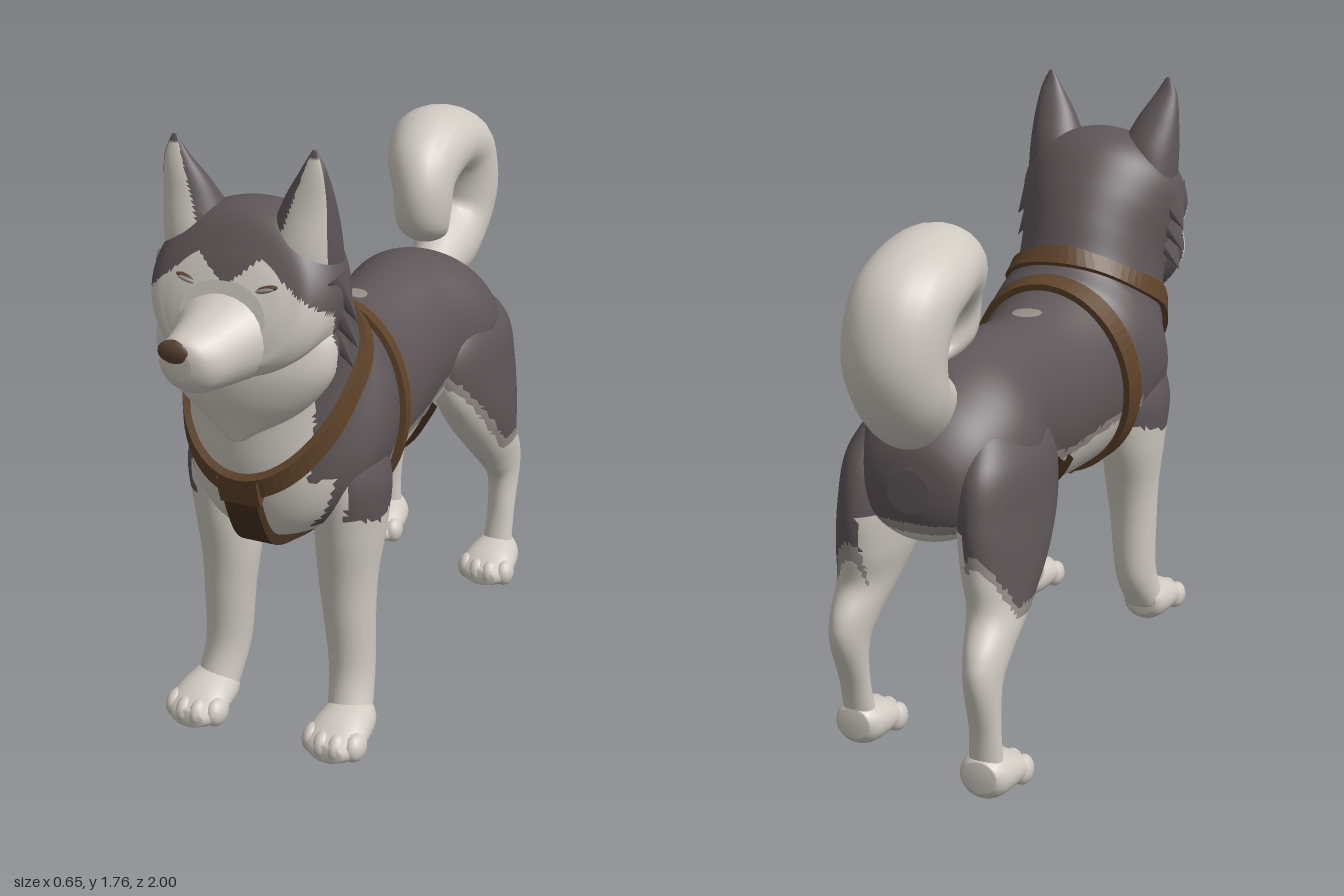
import * as THREE from 'three';

const mat = (name, color, side = THREE.FrontSide) => {
  const m = new THREE.MeshStandardMaterial({ color, side });
  m.name = name;
  return m;
};

// Smooth interpolation between ring rows [zTop, yTop, zBottom, yBottom, halfWidth, x]
function ringAt(rings, s) {
  const last = rings.length - 1;
  const i = Math.min(Math.floor(s), last - 1), f = s - i;
  const row = k => rings[Math.max(0, Math.min(last, k))];
  const [a, b, c, d] = [row(i - 1), row(i), row(i + 1), row(i + 2)];
  return [0, 1, 2, 3, 4, 5].map(k => {
    const p0 = a[k] || 0, p1 = b[k] || 0, p2 = c[k] || 0, p3 = d[k] || 0;
    return p1 + 0.5 * f * (p2 - p0 + f * (2 * p0 - 5 * p1 + 4 * p2 - p3 + f * (3 * (p1 - p2) + p3 - p0)));
  });
}

// Point on a lofted skin; t = 0 is the ring's top, PI its bottom, PI/2 the +x side
function surf(rings, s, t, scale = 1) {
  const [zt, yt, zb, yb, w, x] = ringAt(rings, s);
  const c = Math.cos(t) * scale / 2;
  return new THREE.Vector3(x + w * Math.sin(t) * scale,
    (yt + yb) / 2 + (yt - yb) * c, (zt + zb) / 2 + (zt - zb) * c);
}

// Closed loft; rule(point, t) picks the material of each face
function loft(name, rings, materials, rule = () => 0, around = 24, steps = 4) {
  const rows = (rings.length - 1) * steps, pos = [], lists = materials.map(() => []);
  for (let j = -1; j <= rows + 1; j++) {
    const s = Math.max(0, Math.min(rows, j)) / steps;
    const scale = j < 0 || j > rows ? 0 : 1;
    for (let i = 0; i < around; i++) pos.push(...surf(rings, s, i / around * Math.PI * 2, scale).toArray());
  }
  const P = k => new THREE.Vector3().fromArray(pos, k * 3);
  const add = (a, b, c, t) => {
    const mid = P(a).add(P(b)).add(P(c)).divideScalar(3);
    lists[rule(mid, t)].push(a, b, c);
  };
  for (let j = 0; j < rows + 2; j++) for (let i = 0; i < around; i++) {
    const n = (i + 1) % around, a = j * around + i, b = a + around, c = j * around + n, d = c + around;
    const t = (i + 0.5) / around * Math.PI * 2;
    if (j <= rows) add(a, b, d, t);
    if (j > 0) add(a, d, c, t);
  }
  const g = new THREE.BufferGeometry();
  g.setAttribute('position', new THREE.Float32BufferAttribute(pos, 3));
  g.setIndex(lists.flat());
  let start = 0;
  lists.forEach((l, m) => { g.addGroup(start, l.length, m); start += l.length; });
  g.computeVertexNormals();
  const mesh = new THREE.Mesh(g, materials);
  mesh.name = name;
  return mesh;
}

// Flat band with thickness along samples {p, side, out}
function ribbon(name, samples, material) {
  const pos = [], idx = [];
  samples.forEach(({ p, side, out }, j) => {
    const top = p.clone().add(out), low = p.clone().addScaledVector(out, -0.5);
    pos.push(...low.clone().sub(side).toArray(), ...top.clone().sub(side).toArray(),
      ...top.clone().add(side).toArray(), ...low.clone().add(side).toArray());
    if (j) for (let k = 0; k < 3; k++) {
      const a = (j - 1) * 4 + k;
      idx.push(a, a + 4, a + 1, a + 1, a + 4, a + 5);
    }
  });
  let g = new THREE.BufferGeometry();
  g.setAttribute('position', new THREE.Float32BufferAttribute(pos, 3));
  g.setIndex(idx);
  g = g.toNonIndexed();
  g.computeVertexNormals();
  const mesh = new THREE.Mesh(g, material);
  mesh.name = name;
  return mesh;
}

export function createModel() {
  const model = new THREE.Group();
  model.name = 'dog';
  const dark = mat('dark fur', 0x5e5658), white = mat('pale fur', 0xcec9c1), grey = mat('mid grey fur', 0x938d88);
  const brown = mat('brown leather', 0x5f432a, THREE.DoubleSide);
  const deep = mat('dark leather', 0x443121, THREE.DoubleSide), nose = mat('nose brown', 0x584031);
  const fur = [dark, white, grey];
  const ball = (name, m, p, s, rz = 0) => {
    const b = new THREE.Mesh(new THREE.SphereGeometry(1, 14, 10), m);
    b.name = name; b.position.set(...p); b.scale.set(...s); b.rotation.z = rz;
    model.add(b);
  };

  // Rump, trunk, neck and skull in one skin
  const body = [
    [-.735, .90, -.735, .78, .06], [-.71, .98, -.70, .70, .15], [-.62, 1.07, -.60, .66, .22],
    [-.45, 1.15, -.45, .66, .255], [-.25, 1.165, -.25, .66, .21], [0, 1.145, 0, .605, .21],
    [.20, 1.185, .30, .585, .25], [.255, 1.21, .50, .61, .285], [.29, 1.235, .66, .67, .285],
    [.315, 1.27, .745, .85, .24], [.36, 1.37, .77, 1.02, .228], [.42, 1.47, .78, 1.13, .245],
    [.50, 1.56, .80, 1.17, .265], [.60, 1.60, .82, 1.18, .26], [.70, 1.585, .84, 1.20, .22],
    [.765, 1.50, .84, 1.22, .17], [.80, 1.43, .84, 1.25, .12]];
  const bodyRule = ({ x, y, z }) => {
    const cheek = .69 + Math.max(0, y - 1.3) * .4;
    if (y > 1.17) return z > cheek && y < 1.49 - .8 * Math.abs(Math.abs(x) - .09) ? 1 : 0;
    if (z > .5) return z > (y > .85 ? .675 : .62) || y < .69 ? 1 : 0;
    if (z > .35) return y < .69 ? 1 : 0;
    const edge = z > -.3 ? .75 + .13 * Math.max(0, z) + .4 * Math.max(0, -z - .1) : .72;
    return y < edge ? 1 : y < edge + .03 ? 2 : 0;
  };
  model.add(loft('body', body, fur, bodyRule, 96, 10));
  ball('backPatch', grey, [-.01, 1.145, .02], [.045, .007, .05]);

  // Pale bib hanging from the cheeks to a point on the chest
  model.add(loft('bib', [[.79, 1.34, .58, 1.34, .20], [.80, 1.27, .57, 1.27, .255], [.815, 1.19, .58, 1.18, .255],
    [.81, 1.11, .60, 1.10, .205], [.79, 1.04, .64, 1.04, .13], [.775, .98, .70, 1, .04]],
  [dark, white], ({ z }) => z > .69 ? 1 : 0, 64, 6));

  // Muzzle, nose and eyes
  model.add(loft('muzzle', [[.72, 1.43, .78, 1.16, .17, 0], [.80, 1.40, .82, 1.165, .14, -.005],
    [.86, 1.372, .865, 1.165, .11, -.01], [.93, 1.345, .94, 1.175, .088, -.02],
    [.98, 1.325, .97, 1.195, .065, -.03], [.993, 1.30, .985, 1.22, .035, -.035]], [white]));
  ball('nose', nose, [-.045, 1.293, .978], [.05, .032, .022]);
  ball('noseGroove', nose, [-.06, 1.24, .972], [.022, .02, .012]);
  for (const s of [1, -1]) {
    ball('eyeRim', nose, [s * .11, 1.42, .79], [.036, .009, .012], s * .25);
    ball('eye', grey, [s * .11, 1.418, .796], [.028, .007, .011], s * .25);
  }

  // Curled tail
  model.add(loft('tail', [[-.64, .99, -.52, 1.10, .07, 0], [-.78, .98, -.63, 1.16, .10, -.02],
    [-.92, 1.07, -.73, 1.21, .125, -.04], [-1, 1.24, -.735, 1.26, .135, -.04],
    [-.96, 1.42, -.71, 1.31, .14, -.045], [-.83, 1.515, -.67, 1.325, .143, -.045],
    [-.62, 1.55, -.635, 1.32, .135, -.035], [-.45, 1.48, -.585, 1.29, .112, -.02],
    [-.38, 1.36, -.575, 1.24, .09, 0], [-.39, 1.23, -.58, 1.21, .08, 0],
    [-.47, 1.165, -.60, 1.20, .06, 0], [-.60, 1.15, -.64, 1.18, .03, 0]], [white]));

  // Fur lock: a flattened cone aimed along a direction
  const tuft = (name, m, p, dir, len, r) => {
    const g = new THREE.ConeGeometry(r, len, 8);
    g.scale(.7, 1, 1.6);
    const c = new THREE.Mesh(g, m);
    c.name = name; c.position.set(...p);
    c.quaternion.setFromUnitVectors(new THREE.Vector3(0, 1, 0), new THREE.Vector3(...dir).normalize());
    model.add(c);
  };

  const hind = [[-.36, 1.02, -.58, 1.02, .04, .15], [-.25, .90, -.70, .90, .095, .17],
    [-.24, .76, -.735, .76, .105, .18], [-.32, .63, -.72, .62, .10, .195], [-.44, .50, -.70, .52, .08, .21],
    [-.55, .39, -.745, .43, .06, .22], [-.60, .32, -.745, .35, .05, .225],
    [-.60, .20, -.68, .20, .045, .23], [-.57, .07, -.65, .07, .05, .23]];
  const fore = [[.58, .95, .36, .95, .05, .19], [.60, .80, .32, .80, .10, .195], [.585, .65, .325, .65, .097, .19],
    [.56, .50, .37, .50, .085, .185], [.55, .38, .39, .38, .075, .19],
    [.545, .20, .40, .18, .065, .20], [.59, .07, .46, .06, .065, .215]];
  const paw = [[0, .12, 0, .03, .05], [.05, .13, .04, 0, .075], [.15, .115, .16, 0, .09],
    [.22, .085, .22, 0, .085], [.26, .06, .26, .01, .05]];
  const makePaw = (name, x, z, k) => {
    model.add(loft(name, paw.map(r => [z + r[0] * k, r[1], z + r[2] * k, r[3], r[4] * .98, x]), [white]));
    for (let i = 0; i < 4; i++) {
      const u = i - 1.5;
      ball(name + 'Toe', white, [x + u * .043, .044, z + (.215 - .012 * u * u) * k], [.031, .043, .055 * k]);
    }
  };

  for (const s of [1, -1]) {
    const side = s > 0 ? 'left' : 'right';

    // Hind leg; the right one stands a little further back
    const back = y => s > 0 ? 0 : -.135 * Math.min(1, Math.max(0, (.7 - y) / .6));
    const thighRule = ({ x, y, z }) => {
      const edge = .53 + Math.max(0, z + .5) * 1.1 + Math.max(0, -z - .66) * 2;
      if (Math.abs(x) < .16 && y < .74) return 1;
      return y > edge ? 0 : y > edge - .035 ? 2 : 1;
    };
    model.add(loft(side + 'HindLeg', hind.map(r =>
      [r[0] + back(r[1]), r[1], r[2] + back(r[3]), r[3], r[4], r[5] * s]), fur, thighRule, 48, 8));
    makePaw(side + 'HindPaw', s * .23, s > 0 ? -.66 : -.795, .77);

    // Foreleg
    model.add(loft(side + 'Foreleg', fore.map(r => [...r.slice(0, 5), r[5] * s]), fur,
      ({ x, y, z }) => y > .68 + Math.abs(z - .48) * .3 && z < .585 && Math.abs(x) > .17 ? 0 : 1, 40, 8));
    makePaw(side + 'ForePaw', s * .22, .475, .86);

    // Ear, pale inside with a dark inner edge
    model.add(loft(side + 'Ear', [[.53, 1.42, .73, 1.40, .085, s * .16], [.56, 1.54, .735, 1.50, .092, s * .155],
      [.61, 1.63, .715, 1.61, .07, s * .172], [.66, 1.71, .70, 1.70, .036, s * .193],
      [.68, 1.76, .685, 1.76, .006, s * .198]], [dark, white],
    ({ x, y }, t) => Math.cos(t) < -.45 && y > 1.45 && y < 1.74 && s * x > .105 + (y - 1.5) * .33 ? 1 : 0, 48, 8));

    // Dark cheek ruff
    [[.23, 1.43, .05], [.25, 1.36, .06], [.25, 1.29, .055], [.24, 1.23, .05]].forEach(([x, y, r]) => {
      tuft(side + 'Ruff', dark, [s * x, y, .62], [s * .55, -1, -.1], .14, r);
    });
  }

  // Harness bands that follow the body skin; s may vary around the ring
  const band = (name, sAt, t0, t1, half, m) => {
    const list = [];
    for (let i = 0; i <= 64; i++) {
      const t = t0 + (t1 - t0) * i / 64, s = sAt(t), p = surf(body, s, t);
      const side = surf(body, s + .05, t).sub(surf(body, s - .05, t)).setLength(half);
      list.push({ p, side, out: p.clone().sub(surf(body, s, t, 0)).setLength(.02) });
    }
    model.add(ribbon(name, list, m));
  };
  band('girthStrap', () => 6, 0, Math.PI * 2, .034, brown);
  band('collarStrap', t => 9 + .3 * Math.sin(t) ** 2 - .5 * Math.max(0, Math.cos(t)), 0, Math.PI * 2, .03, brown);
  band('bellyStrap', () => 4.6, 2.05, 4.23, .038, deep);

  // Straps down the front of the chest
  const keel = (name, s0, s1, half, m) => {
    const list = [];
    for (let i = 0; i <= 20; i++) {
      const s = s0 + (s1 - s0) * i / 20, p = surf(body, s, Math.PI);
      const out = p.clone().sub(surf(body, s, 0)).setLength(.024);
      list.push({ p, side: new THREE.Vector3(half, 0, 0), out });
    }
    model.add(ribbon(name, list, m));
  };
  keel('chestStrap', 5.9, 8.75, .05, deep);
  keel('chestPlate', 8.75, 9.15, .06, brown);
  return model;
}
